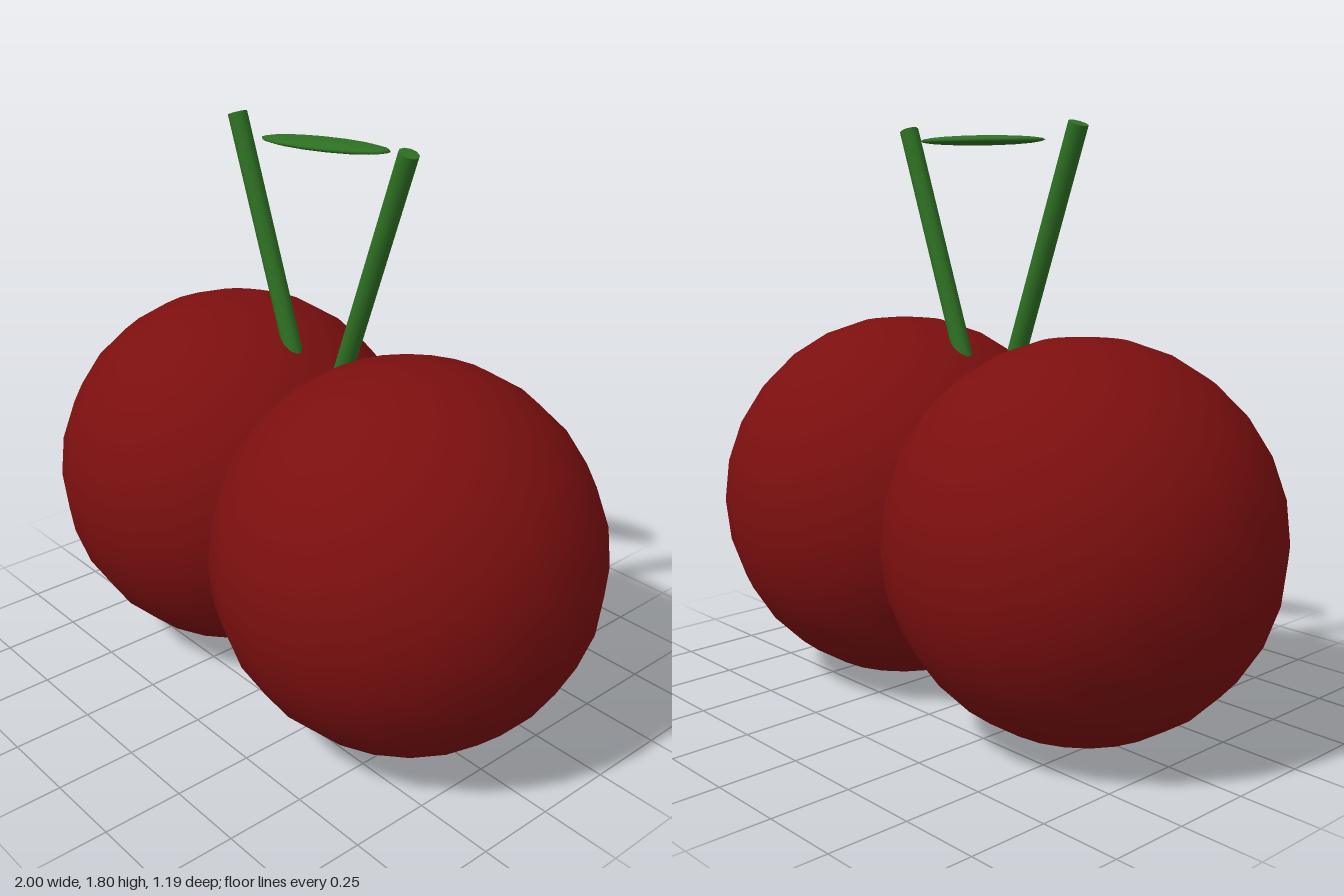
import * as THREE from 'three';

export function createModel() {
  const model = new THREE.Group();
  model.name = 'cherryPair';

  const red = new THREE.MeshStandardMaterial({ color: 0x7c0f0f });
  red.name = 'cherry red';
  const green = new THREE.MeshStandardMaterial({ color: 0x2e7023 });
  green.name = 'stem green';

  const add = (name, geometry, material) => {
    const mesh = new THREE.Mesh(geometry, material);
    mesh.name = name;
    model.add(mesh);
    return mesh;
  };

  const radius = 0.596;
  const tilt = 0.35; // outward lean of each stem
  const stemLength = 0.9;

  for (const [side, s] of [['left', 1], ['right', -1]]) {
    // Fruit, turned so a facet edge faces front and back
    const fruit = new THREE.SphereGeometry(radius, 22, 14).rotateY(Math.PI / 2);
    add(side + 'Cherry', fruit, red).position.set(s * 0.41, radius, 0);

    // Stem, hung from its upper end and sunk into the fruit
    const stem = new THREE.CylinderGeometry(0.03, 0.03, stemLength, 10);
    stem.translate(0, -stemLength / 2, 0);
    const mesh = add(side + 'Stem', stem, green);
    mesh.position.set(s * 0.372, 1.79, 0);
    mesh.rotation.z = -s * tilt;
  }

  // Leaf: a flattened, turned ellipsoid
  const leaf = add('leaf', new THREE.SphereGeometry(1, 14, 10), green);
  leaf.scale.set(0.211, 0.015, 0.072);
  leaf.rotation.y = 0.35;
  leaf.position.set(0, 1.75, -0.028);

  return model;
}
